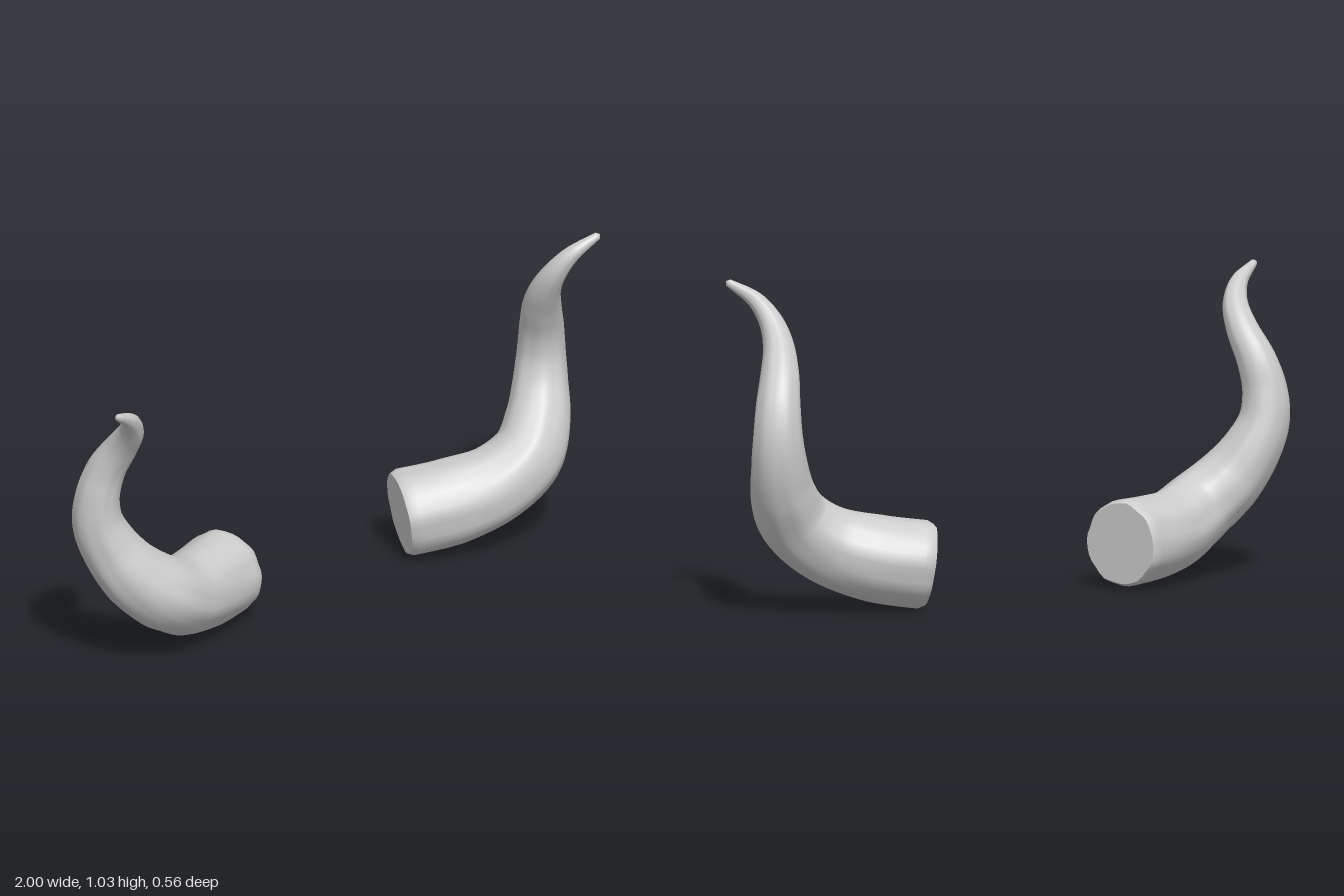
import * as THREE from 'three';

const SIDES = 36, RINGS = 72;

// Each row: centre x, y, z and radius, from the cut base to the tip
const LEFT = [
  [0.43, 0.14, -0.087, 0.136], [0.58, 0.165, 0.0, 0.134], [0.70, 0.21, 0.07, 0.122],
  [0.80, 0.285, 0.102, 0.113], [0.87, 0.38, 0.08, 0.101], [0.91, 0.48, 0.052, 0.086],
  [0.922, 0.57, 0.043, 0.076], [0.91, 0.66, 0.055, 0.069], [0.875, 0.75, 0.09, 0.06],
  [0.843, 0.83, 0.137, 0.048], [0.835, 0.9, 0.185, 0.037], [0.86, 0.965, 0.23, 0.026],
  [0.93, 1.02, 0.275, 0.012],
];
const RIGHT = [
  [-0.275, 0.147, -0.15, 0.135], [-0.42, 0.148, -0.111, 0.13], [-0.55, 0.165, -0.073, 0.121],
  [-0.66, 0.215, -0.052, 0.115], [-0.755, 0.295, -0.085, 0.105], [-0.815, 0.39, -0.122, 0.09],
  [-0.85, 0.48, -0.14, 0.078], [-0.857, 0.57, -0.135, 0.069], [-0.845, 0.66, -0.112, 0.061],
  [-0.835, 0.75, -0.055, 0.05], [-0.853, 0.82, 0.003, 0.04], [-0.9, 0.88, 0.045, 0.028],
  [-0.987, 0.931, 0.078, 0.011],
];

// Shallow lengthwise grooves that wander along the horn
function grooves(a, u, seed) {
  return 1 + 0.014 * Math.sin(7 * a + 5 * u + seed)
    + 0.012 * Math.sin(11 * a - 9 * u + 2 * seed)
    + 0.008 * Math.sin(3 * a + 21 * u + seed);
}

function makeGeometry(positions, index) {
  const g = new THREE.BufferGeometry();
  g.setAttribute('position', new THREE.Float32BufferAttribute(positions, 3));
  g.setIndex(index);
  g.computeVertexNormals();
  return g;
}

function createHorn(rows, seed, name, material) {
  const curve = new THREE.CatmullRomCurve3(rows.map(r => new THREE.Vector3(r[0], r[1], r[2])));
  const frames = curve.computeFrenetFrames(RINGS, false);
  const pos = [], index = [], p = new THREE.Vector3();

  // Grooved, tapering rings swept along the curve
  for (let i = 0; i <= RINGS; i++) {
    const u = i / RINGS;
    const k = curve.getUtoTmapping(u) * (rows.length - 1);
    const n = Math.min(Math.floor(k), rows.length - 2);
    let radius = THREE.MathUtils.lerp(rows[n][3], rows[n + 1][3], k - n);
    if (i === 0) radius *= 0.93; // worn rim at the cut end
    const centre = curve.getPointAt(u);
    for (let j = 0; j < SIDES; j++) {
      const a = j / SIDES * Math.PI * 2;
      const r = radius * grooves(a, u, seed);
      p.copy(centre)
        .addScaledVector(frames.normals[i], Math.cos(a) * r)
        .addScaledVector(frames.binormals[i], Math.sin(a) * r);
      pos.push(p.x, p.y, p.z);
    }
  }
  for (let i = 0; i < RINGS; i++) {
    for (let j = 0; j < SIDES; j++) {
      const a = i * SIDES + j, b = i * SIDES + (j + 1) % SIDES;
      index.push(a, b, a + SIDES, b, b + SIDES, a + SIDES);
    }
  }

  // Blunt tip
  p.copy(curve.getPointAt(1)).addScaledVector(frames.tangents[RINGS], 0.01);
  const tip = pos.length / 3, last = RINGS * SIDES;
  pos.push(p.x, p.y, p.z);
  for (let j = 0; j < SIDES; j++) index.push(tip, last + j, last + (j + 1) % SIDES);

  // Flat cut end, kept separate for a sharp edge
  const capPos = pos.slice(0, SIDES * 3), capIndex = [];
  capPos.push(rows[0][0], rows[0][1], rows[0][2]);
  for (let j = 0; j < SIDES; j++) capIndex.push(SIDES, (j + 1) % SIDES, j);

  const horn = new THREE.Group();
  horn.name = name;
  const body = new THREE.Mesh(makeGeometry(pos, index), material);
  body.name = name + 'Body';
  const cap = new THREE.Mesh(makeGeometry(capPos, capIndex), material);
  cap.name = name + 'BaseCap';
  horn.add(body, cap);
  return horn;
}

export function createModel() {
  const material = new THREE.MeshStandardMaterial({ color: 0xcccccc });
  const model = new THREE.Group();
  model.name = 'hornPair';
  model.add(createHorn(LEFT, 1.3, 'leftHorn', material));
  model.add(createHorn(RIGHT, 4.1, 'rightHorn', material));
  return model;
}
